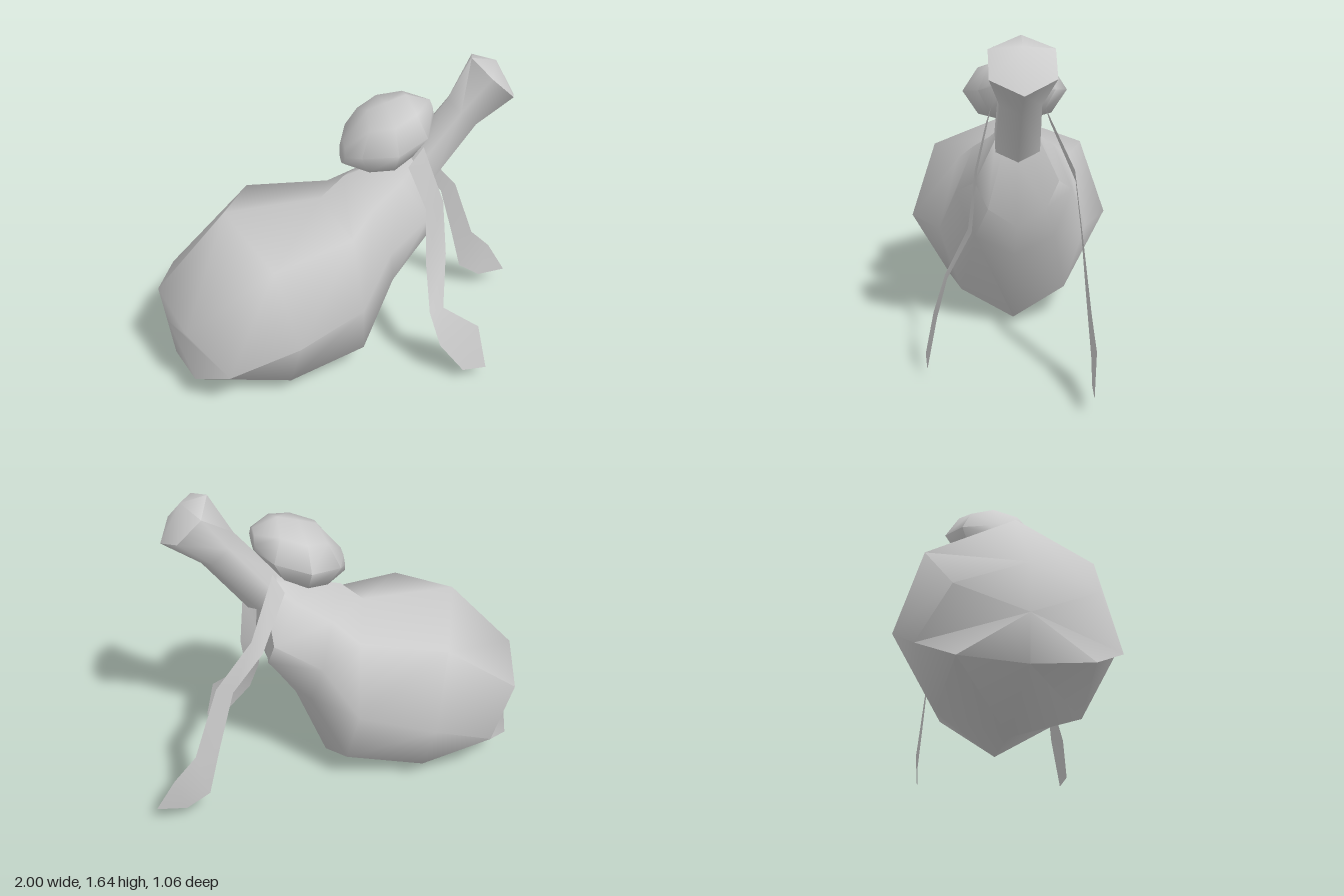
import * as THREE from 'three';
import { toCreasedNormals } from 'three/addons/utils/BufferGeometryUtils.js';

// Half profile of an oval ring, top to bottom, with the given number of steps
function oval(steps, [tx, ty], [mx, my], [bx, by], w) {
  const half = [];
  for (let j = 0; j <= steps; j++) {
    const a = (j / steps) * Math.PI, c = Math.cos(a), k = Math.abs(c);
    const [ex, ey] = c > 0 ? [tx, ty] : [bx, by];
    half.push([mx + k * (ex - mx), my + k * (ey - my), w * Math.sin(a)]);
  }
  return half;
}

// Closed loft along +x through half profiles mirrored in z, with a centre point for each end
function loft(halves, startCentre, endCentre, crease) {
  const rings = halves.map((h) =>
    [...h, ...h.slice(1, -1).reverse().map(([x, y, z]) => [x, y, -z])]);
  const sides = rings[0].length, last = rings.length - 1;
  const first = rings.length * sides;
  const pos = [...rings.flat(2), ...startCentre, 0, ...endCentre, 0];
  const index = [];
  for (let j = 0; j < sides; j++) {
    const k = (j + 1) % sides;
    for (let i = 0; i < last; i++) {
      const a = i * sides + j, b = i * sides + k;
      index.push(a, b, a + sides, b, b + sides, a + sides);
    }
    // end caps
    index.push(first, k, j, first + 1, last * sides + j, last * sides + k);
  }
  const g = new THREE.BufferGeometry();
  g.setAttribute('position', new THREE.Float32BufferAttribute(pos, 3));
  g.setIndex(index);
  return toCreasedNormals(g, crease);
}

// Thin strip; each row is [leftX, leftY, leftZ, rightX, rightY, rightZ]
function strip(rows) {
  const index = [];
  for (let i = 0; i < rows.length - 1; i++) {
    const a = i * 2;
    index.push(a, a + 2, a + 1, a + 1, a + 2, a + 3);
  }
  const g = new THREE.BufferGeometry();
  g.setAttribute('position', new THREE.Float32BufferAttribute(rows.flat(), 3));
  g.setIndex(index);
  g.computeVertexNormals();
  return g;
}

export function createModel() {
  const group = new THREE.Group();
  const cloth = new THREE.MeshStandardMaterial({ color: 0xcccccc, side: THREE.DoubleSide });
  cloth.name = 'cloth grey';

  const add = (name, geometry) => {
    const mesh = new THREE.Mesh(geometry, cloth);
    mesh.name = name;
    group.add(mesh);
  };

  // Bulging sack, from its base to the tied neck
  add('sack', loft([
    [[-1, 0.56, 0], [-0.9, 0.49, 0.31], [-0.72, 0.29, 0.45], [-0.88, 0.18, 0.29], [-0.95, 0.13, 0]],
    [[-0.64, 0.96, 0], [-0.47, 0.85, 0.4], [-0.38, 0.47, 0.53], [-0.4, 0.1, 0.33], [-0.4, 0, 0]],
    [[-0.16, 0.97, 0], [-0.06, 0.89, 0.28], [-0.03, 0.52, 0.38], [0, 0.19, 0.27], [0.04, 0.04, 0]],
    [[-0.04, 1.08, 0], [0.06, 0.99, 0.2], [0.13, 0.78, 0.29], [0.17, 0.55, 0.2], [0.2, 0.46, 0]],
    [[0.1, 1.12, 0], [0.22, 1.08, 0.13], [0.35, 0.9, 0.2], [0.37, 0.77, 0.14], [0.33, 0.66, 0]],
    [[0.3, 1.2, 0], [0.33, 1.17, 0.07], [0.36, 1.12, 0.1], [0.36, 1.05, 0.07], [0.36, 1, 0]],
  ], [-0.975, 0.345], [0.35, 1.1], 1.2));

  // Rounded knot above the neck
  add('knot', loft([
    oval(4, [-0.04, 1.28], [-0.045, 1.22], [-0.05, 1.16], 0.06),
    oval(4, [0.08, 1.43], [0.01, 1.27], [0.08, 1.115], 0.175),
    oval(4, [0.17, 1.46], [0.17, 1.3], [0.17, 1.14], 0.25),
    oval(4, [0.27, 1.49], [0.33, 1.34], [0.25, 1.17], 0.18),
    oval(4, [0.39, 1.45], [0.395, 1.39], [0.39, 1.33], 0.06),
  ], [-0.045, 1.22], [0.39, 1.39], 1.3));

  // Flared gathered end with a domed tip
  add('gatheredEnd', loft([
    oval(3, [0.27, 1.18], [0.35, 1.1], [0.43, 1.02], 0.12),
    oval(3, [0.48, 1.44], [0.56, 1.37], [0.64, 1.3], 0.108),
    oval(3, [0.59, 1.645], [0.7, 1.545], [0.82, 1.43], 0.168),
  ], [0.35, 1.1], [0.715, 1.62], 1.2));

  // Two hanging ribbon tails
  add('leftRibbon', strip([
    [0.25, 1.17, 0.14, 0.33, 1.26, 0.12],
    [0.33, 0.95, 0.2, 0.42, 0.98, 0.19],
    [0.33, 0.66, 0.235, 0.44, 0.68, 0.22],
    [0.325, 0.42, 0.35, 0.4, 0.43, 0.34],
    [0.37, 0.24, 0.41, 0.58, 0.31, 0.39],
    [0.49, 0.08, 0.45, 0.62, 0.065, 0.44],
  ]));
  add('rightRibbon', strip([
    [0.28, 1.17, -0.16, 0.33, 1.26, -0.13],
    [0.42, 0.92, -0.27, 0.47, 0.99, -0.26],
    [0.575, 0.73, -0.28, 0.655, 0.76, -0.275],
    [0.66, 0.43, -0.3, 0.785, 0.4, -0.31],
    [0.73, 0.165, -0.32, 0.9, 0.28, -0.32],
    [0.85, 0.085, -0.31, 1, 0.105, -0.3],
  ]));

  return group;
}
